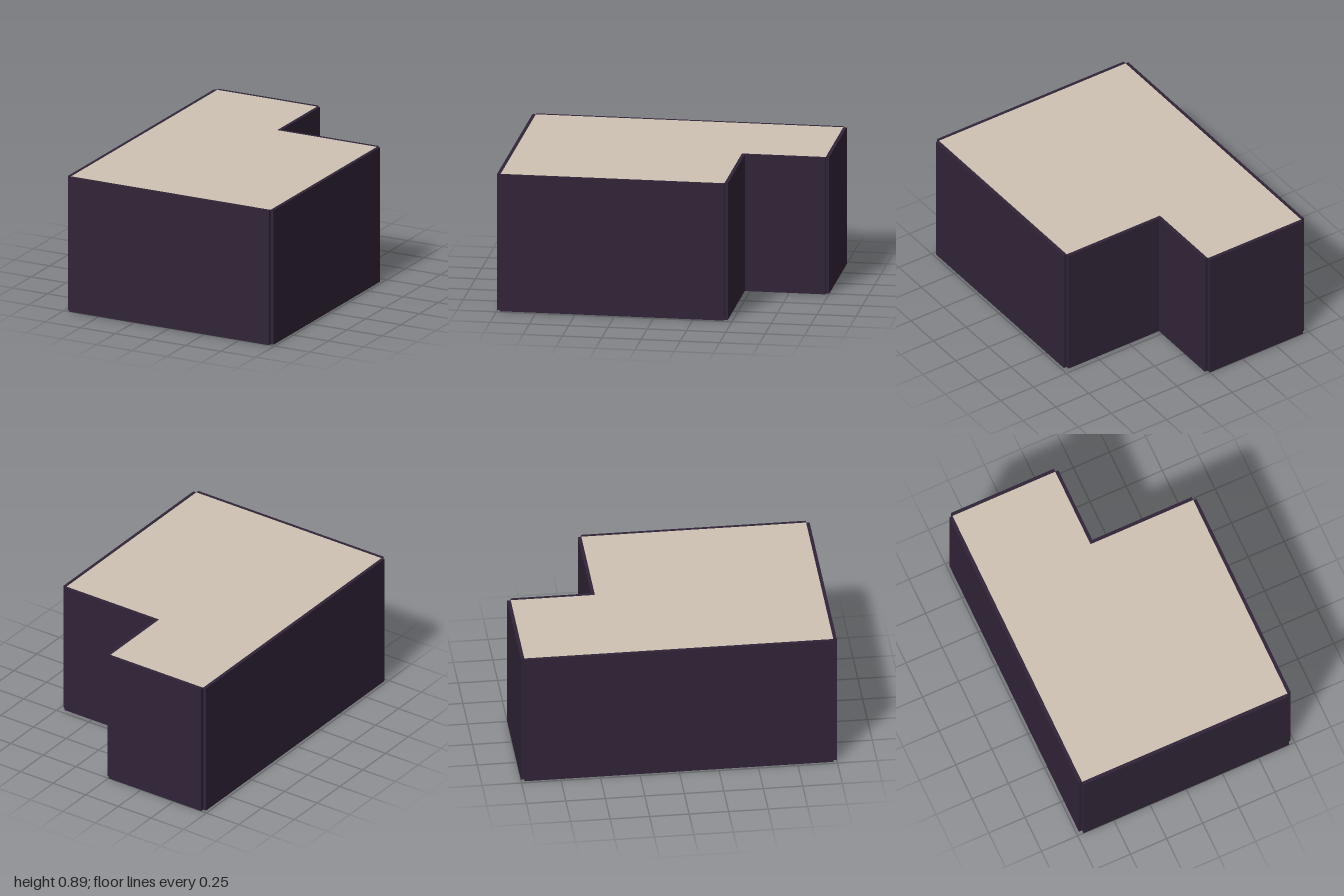
import * as THREE from 'three';

const HEIGHT = 0.89;
const THICK = 0.022;
const SLAB = 0.02;

// Inner outline of the L-shaped room as [x, z], in order round the plan
const OUTLINE = [
  [-0.71, -0.978], [0, -0.978], [0, -0.445],
  [0.71, -0.445], [0.71, 0.978], [-0.71, 0.978],
];

function material(name, color) {
  const m = new THREE.MeshStandardMaterial({ color });
  m.name = name;
  return m;
}

// Flat L-shaped slab whose underside is at y
function slab(name, y, mat) {
  const shape = new THREE.Shape(OUTLINE.map(([x, z]) => new THREE.Vector2(x, -z)));
  const geometry = new THREE.ExtrudeGeometry(shape, { depth: SLAB, bevelEnabled: false });
  geometry.rotateX(-Math.PI / 2);
  const mesh = new THREE.Mesh(geometry, mat);
  mesh.name = name;
  mesh.position.y = y;
  return mesh;
}

// Wall standing just outside the outline edge a-b, leaving the outer corners notched
function wall(name, [ax, az], [bx, bz], mat) {
  const dx = bx - ax, dz = bz - az;
  const length = Math.hypot(dx, dz);
  const mesh = new THREE.Mesh(new THREE.BoxGeometry(length, HEIGHT, THICK), mat);
  mesh.name = name;
  mesh.position.set(
    (ax + bx) / 2 + (dz / length) * THICK / 2,
    HEIGHT / 2,
    (az + bz) / 2 - (dx / length) * THICK / 2,
  );
  mesh.rotation.y = -Math.atan2(dz, dx);
  return mesh;
}

export function createModel() {
  const wallPaint = material('dark plum wall', 0x302437);
  const floorWood = material('brown floor', 0x4a2c28);
  const ceilingPaint = material('beige ceiling', 0xcfc2b3);

  const room = new THREE.Group();
  room.name = 'room';

  room.add(slab('floor', 0, floorWood));
  room.add(slab('ceiling', HEIGHT - SLAB, ceilingPaint));

  const names = ['backWall', 'recessSideWall', 'recessBackWall', 'leftWall', 'frontWall', 'rightWall'];
  const walls = new THREE.Group();
  walls.name = 'walls';
  names.forEach((name, i) => {
    walls.add(wall(name, OUTLINE[i], OUTLINE[(i + 1) % OUTLINE.length], wallPaint));
  });
  room.add(walls);

  return room;
}
